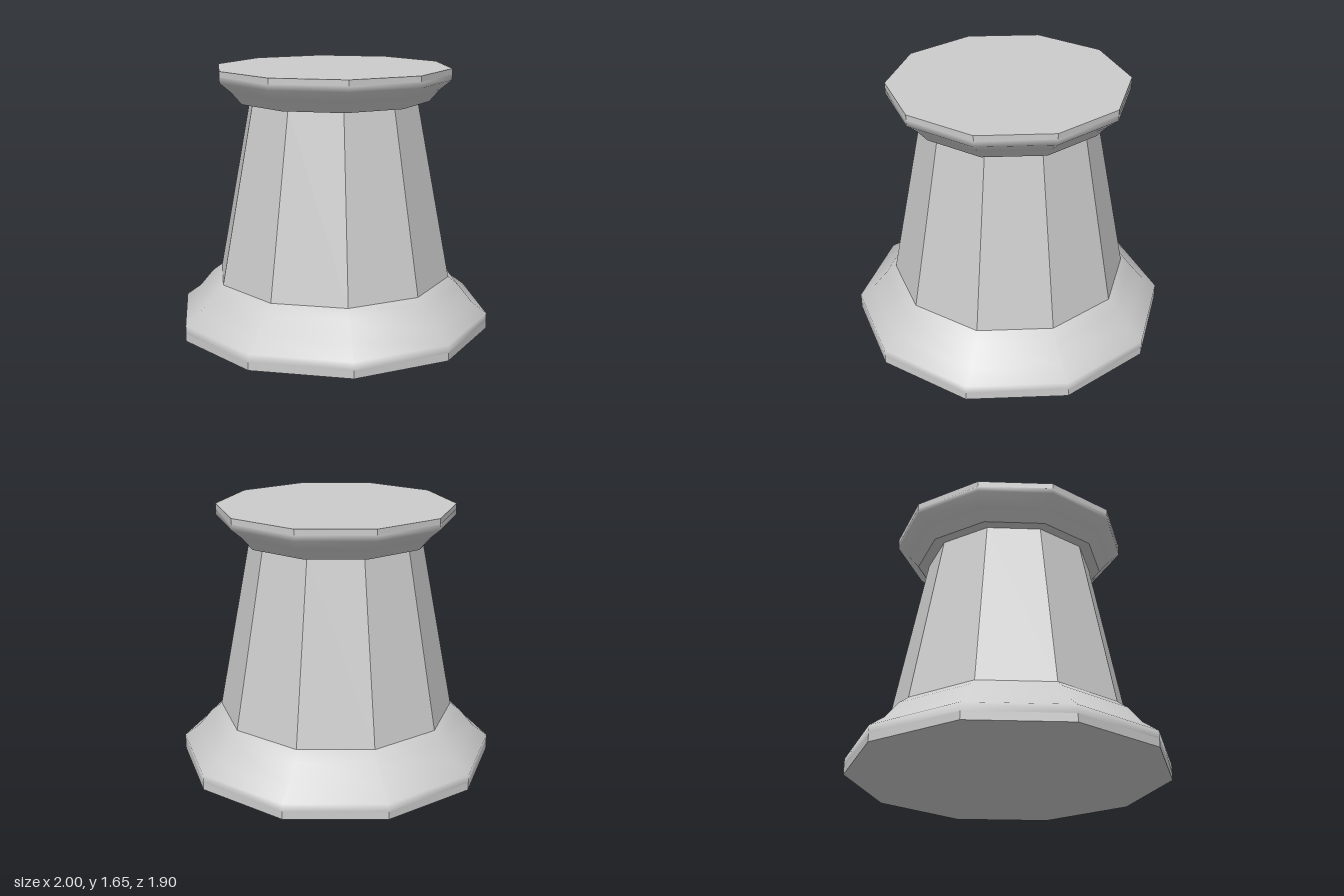
import * as THREE from 'three';

const SIDES = 10;
const material = new THREE.MeshStandardMaterial({ color: 0xcccccc });
const flatMaterial = new THREE.MeshStandardMaterial({ color: 0xcccccc, flatShading: true });

// Ten-sided ring from a profile of [radius, height], listed bottom to top, corners on the x axis
function ring(name, profile, mat) {
  const points = profile.map(([r, y]) => new THREE.Vector2(r, y));
  const mesh = new THREE.Mesh(new THREE.LatheGeometry(points, SIDES, Math.PI / 2), mat);
  mesh.name = name;
  return mesh;
}

// Flat ten-sided lid, facing up or down
function lid(name, radius, y, up) {
  const mesh = new THREE.Mesh(new THREE.CircleGeometry(radius, SIDES), flatMaterial);
  mesh.rotation.x = up ? -Math.PI / 2 : Math.PI / 2;
  mesh.position.y = y;
  mesh.name = name;
  return mesh;
}

export function createModel() {
  const model = new THREE.Group();
  model.name = 'pedestal';

  // Base: upright rim with a softly shaded moulding above it
  const base = new THREE.Group();
  base.name = 'base';
  base.add(
    lid('baseUnderside', 1, 0, false),
    ring('baseRim', [[1, 0], [1, 0.05]], flatMaterial),
    ring('baseMoulding', [[1, 0.05], [1, 0.1], [0.905, 0.17], [0.815, 0.28], [0.75, 0.33]], material),
  );

  // Tapered faceted shaft
  const shaft = ring('shaft', [[0.75, 0.33], [0.535, 1.45]], flatMaterial);

  // Cap: flared moulding, upright rim and flat top
  const cap = new THREE.Group();
  cap.name = 'cap';
  cap.add(
    lid('capUnderside', 0.605, 1.45, false),
    ring('capMoulding', [[0.605, 1.45], [0.67, 1.525], [0.742, 1.585], [0.742, 1.62]], material),
    ring('capRim', [[0.742, 1.62], [0.742, 1.655]], flatMaterial),
    lid('capTop', 0.742, 1.655, true),
  );

  model.add(base, shaft, cap);
  return model;
}
